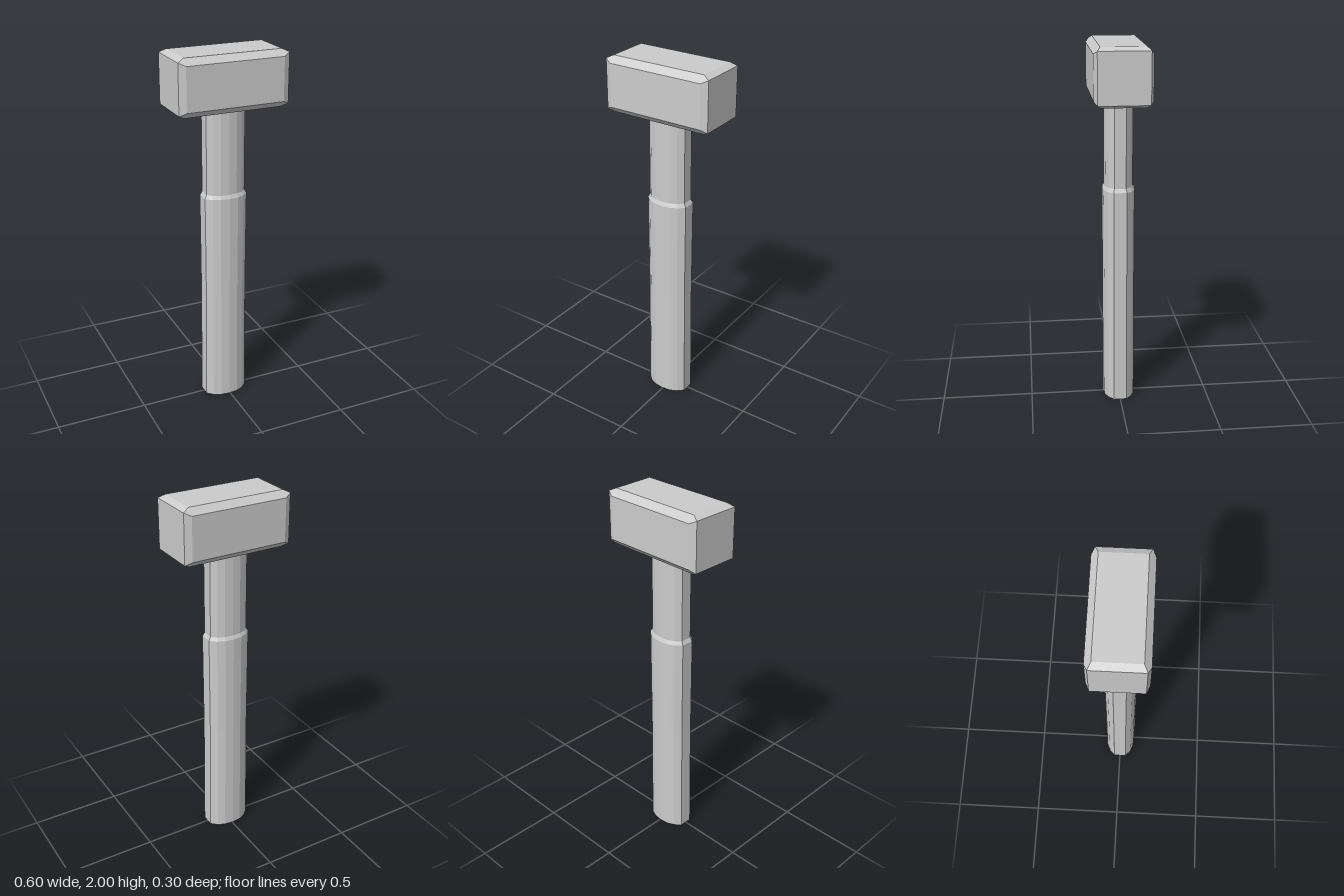
import * as THREE from 'three';
import { ConvexGeometry } from 'three/addons/geometries/ConvexGeometry.js';

const material = new THREE.MeshStandardMaterial({ color: 0xcccccc, flatShading: true });

// Block with chamfered long edges that run out to square end faces
function headGeometry() {
  const points = [];
  for (const sx of [-1, 1])
    for (const sy of [-1, 1])
      for (const sz of [-1, 1]) {
        points.push(new THREE.Vector3(sx * 0.302, sy * 0.133, sz * 0.133));
        points.push(new THREE.Vector3(sx * 0.267, sy * 0.15, sz * 0.116));
        points.push(new THREE.Vector3(sx * 0.267, sy * 0.116, sz * 0.15));
      }
  return new ConvexGeometry(points);
}

// Flattened oval outline with a flat facet at each end, unit half-widths
function handleOutline() {
  const quarter = [[1, 0.4], [0.74, 0.74], [0.41, 0.94]];
  const half = [...quarter, [0, 1], ...quarter.map(([x, z]) => [-x, z]).reverse()];
  return [...half, ...half.map(([x, z]) => [-x, -z])];
}

// Loft the outline through rows of [y, half-width x, half-width z]
function handleGeometry(rows) {
  const outline = handleOutline();
  const n = outline.length;
  const positions = [];
  const index = [];
  for (const [y, rx, rz] of rows)
    for (const [x, z] of outline) positions.push(x * rx, y, z * rz);
  for (let r = 0; r < rows.length - 1; r++)
    for (let i = 0; i < n; i++) {
      const a = r * n + i, b = r * n + (i + 1) % n;
      index.push(a, a + n, b, b, a + n, b + n);
    }
  // End caps
  const top = (rows.length - 1) * n;
  for (let i = 1; i < n - 1; i++) {
    index.push(0, i, i + 1);
    index.push(top, top + i + 1, top + i);
  }
  const geometry = new THREE.BufferGeometry();
  geometry.setAttribute('position', new THREE.Float32BufferAttribute(positions, 3));
  geometry.setIndex(index);
  geometry.computeVertexNormals();
  return geometry;
}

export function createModel() {
  const group = new THREE.Group();

  const head = new THREE.Mesh(headGeometry(), material);
  head.name = 'head';
  head.position.y = 1.85;
  group.add(head);

  // Thick grip, short shoulder, then the slimmer neck up into the head
  const handle = new THREE.Mesh(handleGeometry([
    [0, 0.122, 0.088],
    [0.65, 0.118, 0.087],
    [1.22, 0.121, 0.088],
    [1.24, 0.11, 0.078],
    [1.71, 0.11, 0.078],
  ]), material);
  handle.name = 'handle';
  handle.position.x = -0.005;
  group.add(handle);

  return group;
}
